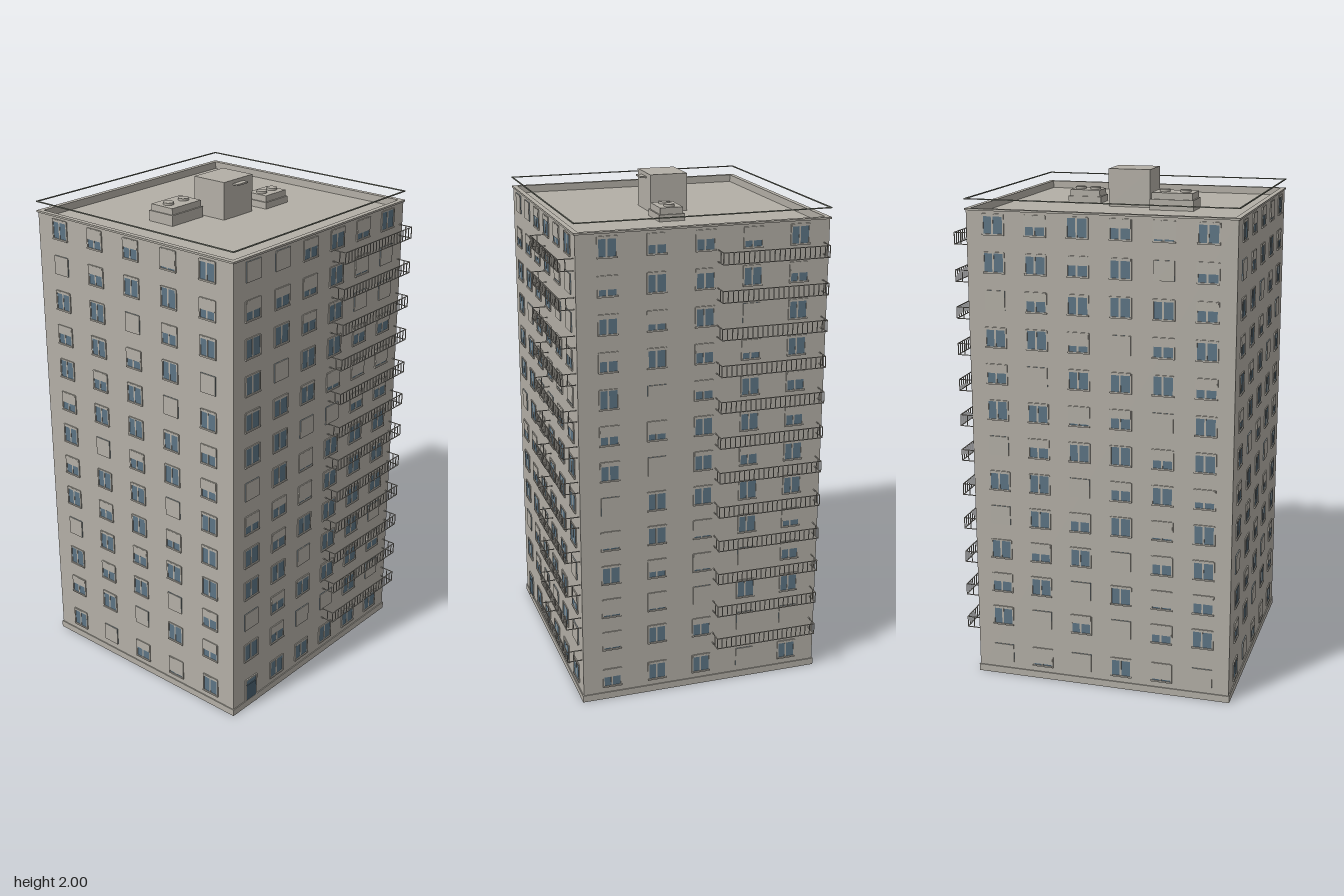
import * as THREE from 'three';

const mat = (name, color, side = THREE.FrontSide) => {
  const m = new THREE.MeshStandardMaterial({ color, side });
  m.name = name;
  return m;
};

export function createModel() {
  const M = {
    wall: mat('wall concrete', 0xb3afa6, THREE.DoubleSide),
    glass: mat('window glass', 0x5c7484),
    door: mat('door blue', 0x4a6070),
    rail: mat('roof rail', 0x868a7e),
  };
  const model = new THREE.Group();
  model.name = 'towerBlock';
  const CX = -0.03, CZ = -0.03, HX = 0.515, HZ = 0.49, TOP = 1.88;

  // box centred in x and z-range, given by its extents
  const box = (parent, name, m, x0, x1, y0, y1, z0, z1) => {
    const mesh = new THREE.Mesh(new THREE.BoxGeometry(x1 - x0, y1 - y0, z1 - z0), m);
    mesh.position.set((x0 + x1) / 2, (y0 + y1) / 2, (z0 + z1) / 2);
    mesh.name = name;
    parent.add(mesh);
    return mesh;
  };
  // four bars forming a rectangular ring around the plan
  const ring = (parent, name, m, hx, hz, t, y0, y1) => {
    for (const s of [-1, 1]) {
      const a = s * hx, b = s * (hx - t), c = s * hz, d = s * (hz - t);
      box(parent, name, m, CX + Math.min(a, b), CX + Math.max(a, b), y0, y1, CZ - hz, CZ + hz);
      box(parent, name, m, CX - hx + t, CX + hx - t, y0, y1, CZ + Math.min(c, d), CZ + Math.max(c, d));
    }
  };

  // two-pane window; open is the share left visible below the blind
  const addWindow = (parent, u, y, w, h, open) => {
    const g = new THREE.Group();
    g.name = 'window';
    g.position.set(u, y, 0);
    parent.add(g);
    const a = w / 2;
    box(g, 'pane', M.glass, -a, a, 0, h, -0.002, 0.002);
    box(g, 'mullion', M.wall, -a * 0.16, a * 0.02, 0, h, -0.003, 0.003);
    if (open > 0) {
      for (const s of [-1, 1]) box(g, 'frameSide', M.wall, s * a - 0.003, s * a + 0.003, 0, h, -0.003, 0.004);
      box(g, 'sill', M.wall, -a - 0.003, a + 0.003, -0.004, 0.002, -0.003, 0.006);
      box(g, 'lintel', M.wall, -a, a, h - 0.003, h + 0.002, -0.003, 0.004);
    }
    if (open < 1) box(g, 'blind', M.wall, -a, a, h * open, h, 0.002, 0.0045);
  };

  // railing standing out from a facade, with open ends
  const addBalcony = (parent, u0, u1, y) => {
    const g = new THREE.Group();
    g.name = 'balcony';
    g.position.y = y;
    parent.add(g);
    const D = 0.06, H = 0.047, t = 0.003;
    for (const r of [0, H - t]) {
      box(g, 'frontRail', M.wall, u0, u1, r, r + t, D - t, D);
      for (const u of [u0, u1 - t]) box(g, 'endRail', M.wall, u, u + t, r, r + t, 0, D - t);
    }
    const n = Math.round((u1 - u0) / 0.02);
    for (let i = 0; i <= n; i++) {
      const u = u0 + (u1 - u0 - t) * i / n;
      box(g, 'baluster', M.wall, u, u + t, t, H - t, D - t, D);
    }
    for (const u of [u0, u1 - t]) box(g, 'endBaluster', M.wall, u, u + t, t, H - t, D / 2, D / 2 + t);
  };

  // each row is one storey from the ground up; digits are window openness out of 9
  const facades = [
    { name: 'front', turn: 0, half: HX, off: HZ, cols: 6, pitch: 0.1635, w: 0.08, door: true, balcony: [0.055, 0.495],
      rows: '-98988 950090 058884 990990 959999 451898 091999 990045 888211 909955 995800 453910 005739' },
    { name: 'right', turn: 1, half: HZ, off: HX, cols: 5, pitch: 0.186, w: 0.072, balcony: [0.047, 0.47],
      rows: '58808 18600 11098 83105 18183 08898 70758 43885 90485 58538 73808 38784 84538' },
    { name: 'back', turn: 2, half: HX, off: HZ, cols: 6, pitch: 0.1635, w: 0.08,
      rows: '010810 805048 580815 948058 085919 890583 058948 981508 508894 893058 058985 985804 849518' },
    { name: 'left', turn: 3, half: HZ, off: HX, cols: 5, pitch: 0.186, w: 0.072,
      rows: '80518 58094 95805 08589 85948 59808 80594 48985 95808 58490 89058 05894 84518' },
  ];
  for (const f of facades) {
    const g = new THREE.Group();
    g.name = f.name + 'Facade';
    g.rotation.y = f.turn * Math.PI / 2;
    g.position.set(CX + Math.round(Math.sin(g.rotation.y)) * f.off, 0, CZ + Math.round(Math.cos(g.rotation.y)) * f.off);
    model.add(g);
    const wall = new THREE.Mesh(new THREE.PlaneGeometry(2 * f.half, TOP), M.wall);
    wall.position.y = TOP / 2;
    wall.name = 'wall';
    g.add(wall);
    f.rows.split(' ').forEach((row, k) => {
      const y = k ? 0.219 + (k - 1) * 0.1428 : 0.055;
      [...row].forEach((c, i) => {
        if (c === '-') return;
        addWindow(g, (i - (f.cols - 1) / 2) * f.pitch, y, f.w, 0.075, +c / 9);
      });
      if (k && f.balcony) addBalcony(g, ...f.balcony, 0.175 + (k - 1) * 0.1425);
    });
    // entrance door with transom and frame
    if (f.door) {
      const u = -0.408;
      box(g, 'door', M.door, u - 0.03, u + 0.03, 0, 0.098, -0.003, 0.003);
      box(g, 'transom', M.glass, u - 0.03, u + 0.03, 0.102, 0.122, -0.003, 0.003);
      for (const s of [-1, 1]) box(g, 'doorFrame', M.wall, u + s * 0.032 - 0.003, u + s * 0.032 + 0.003, 0, 0.126, -0.003, 0.005);
      box(g, 'doorHead', M.wall, u - 0.035, u + 0.035, 0.122, 0.127, -0.003, 0.005);
    }
  }

  // plinth, parapet, cornice, guard rail and sunken roof
  ring(model, 'plinth', M.wall, HX + 0.004, HZ + 0.004, 0.004, 0, 0.028);
  ring(model, 'parapet', M.wall, HX - 0.001, HZ - 0.001, 0.014, 1.85, 1.88);
  ring(model, 'cornice', M.wall, HX + 0.005, HZ + 0.005, 0.02, 1.876, 1.883);
  ring(model, 'guardRail', M.rail, HX + 0.005, HZ + 0.005, 0.005, 1.916, 1.92);
  box(model, 'roof', M.wall, CX - HX + 0.002, CX + HX - 0.002, 1.848, 1.854, CZ - HZ + 0.002, CZ + HZ - 0.002);

  // lift tower with a small canopy
  box(model, 'liftTower', M.wall, -0.112, 0.055, 1.854, 2, -0.105, 0.045);
  box(model, 'canopy', M.wall, -0.06, 0.002, 1.98, 1.986, 0.045, 0.068);

  // vent housings, each with a lid and two round caps
  const addVent = (x0, x1, z0, z1, top, caps) => {
    const g = new THREE.Group();
    g.name = 'ventHousing';
    model.add(g);
    box(g, 'ventBody', M.wall, x0 + 0.006, x1 - 0.006, 1.854, top, z0 + 0.006, z1 - 0.006);
    box(g, 'ventBase', M.wall, x0, x1, 1.854, top - 0.025, z0, z1);
    for (const x of caps) {
      const cap = new THREE.Mesh(new THREE.CylinderGeometry(0.021, 0.021, 0.01, 24), M.wall);
      cap.position.set(x, top + 0.004, (z0 + z1) / 2);
      cap.name = 'ventCap';
      g.add(cap);
    }
  };
  addVent(-0.3, -0.127, -0.168, -0.048, 1.92, [-0.256, -0.173]);
  addVent(0.11, 0.244, -0.032, 0.07, 1.905, [0.146, 0.208]);

  return model;
}
